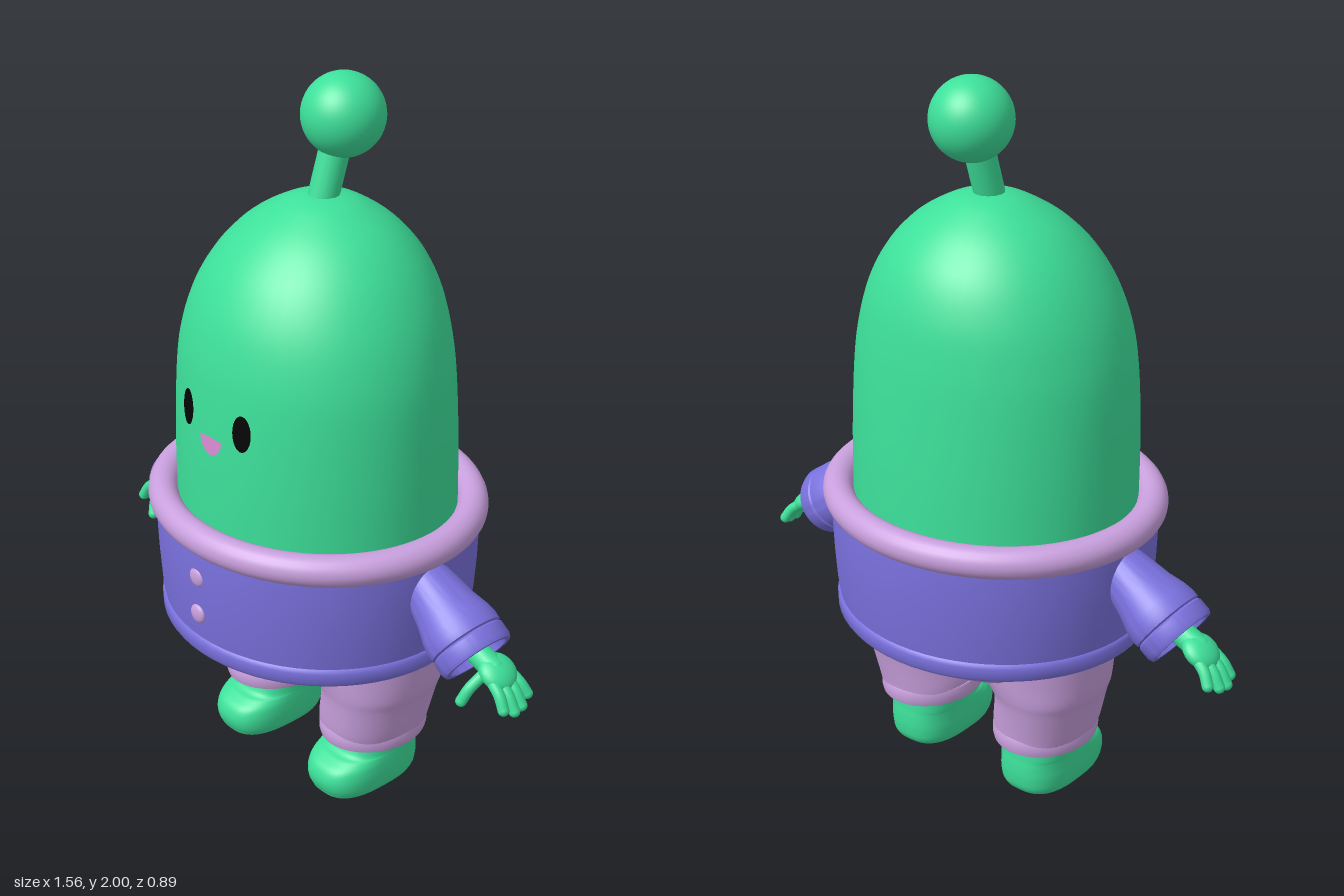
import * as THREE from 'three';
import { mergeGeometries, mergeVertices, toCreasedNormals } from 'three/addons/utils/BufferGeometryUtils.js';

const V = (x, y, z) => new THREE.Vector3(x, y, z);

const flat = (name, color) => {
  const m = new THREE.MeshStandardMaterial({ color });
  m.name = name;
  return m;
};

// Smooth interpolation of table rows (uniform Catmull-Rom on every column)
function sampleRows(rows, t) {
  const i = Math.min(Math.floor(t), rows.length - 2), f = t - i;
  const at = k => rows[Math.max(0, Math.min(rows.length - 1, k))];
  const [a, b, c, d] = [at(i - 1), at(i), at(i + 1), at(i + 2)];
  return b.map((_, k) => b[k] + 0.5 * f * (c[k] - a[k] + f * (2 * a[k] - 5 * b[k] + 4 * c[k] - d[k]
    + f * (3 * (b[k] - c[k]) + d[k] - a[k]))));
}

// Closed cross-sections stacked upwards; row = [y, centreX, radiusX, frontZ, backZ]
function loft(rows, power = 2, sides = 48, steps = 5) {
  const pos = [], index = [], n = (rows.length - 1) * steps;
  const bend = v => Math.sign(v) * Math.abs(v) ** (2 / power);
  for (let i = 0; i <= n; i++) {
    const [y, cx, rx, zf, zb] = sampleRows(rows, i / steps);
    for (let j = 0; j < sides; j++) {
      const a = j / sides * Math.PI * 2;
      pos.push(cx + rx * bend(Math.cos(a)), y, (zf + zb) / 2 + (zf - zb) / 2 * bend(Math.sin(a)));
      if (i === n) continue;
      const p = i * sides + j, q = i * sides + (j + 1) % sides;
      index.push(p, p + sides, q + sides, p, q + sides, q);
    }
  }
  let g = new THREE.BufferGeometry();
  g.setAttribute('position', new THREE.Float32BufferAttribute(pos, 3));
  g.setIndex(index);
  g = mergeVertices(g, 1e-5);
  g.computeVertexNormals();
  return g;
}

// Turned profile stretched into an oval, with sharp edges kept
function turned(points, sx = 1, sz = 1, crease = 0.7) {
  const g = new THREE.LatheGeometry(points.map(p => new THREE.Vector2(...p)), 64);
  g.scale(sx, 1, sz);
  return toCreasedNormals(g, crease);
}

// Round-ended tube through points
function limb(points, r) {
  const path = new THREE.CatmullRomCurve3(points);
  const ends = [points[0], points[points.length - 1]].map(p =>
    new THREE.SphereGeometry(r, 14, 10).translate(p.x, p.y, p.z));
  return mergeGeometries([new THREE.TubeGeometry(path, 10, r, 14), ...ends]);
}

const headRows = [
  [0.78, 0, 0.402, 0.366, -0.364], [1.0, 0, 0.402, 0.366, -0.358], [1.2, 0, 0.394, 0.357, -0.346],
  [1.32, 0, 0.376, 0.343, -0.335], [1.43, 0, 0.34, 0.312, -0.316], [1.53, 0, 0.283, 0.256, -0.275],
  [1.61, 0, 0.208, 0.178, -0.208], [1.665, 0, 0.118, 0.092, -0.13], [1.686, 0, 0.055, 0.035, -0.075],
  [1.692, 0, 0, -0.02, -0.02],
];

// Thin face detail laid onto the front of the head
function faceDetail(shape) {
  const g = new THREE.ShapeGeometry(shape, 24), p = g.attributes.position;
  for (let i = 0; i < p.count; i++) {
    const y = p.getY(i);
    const k = headRows.findIndex((r, j) => y < headRows[j + 1][0]);
    const t = k + (y - headRows[k][0]) / (headRows[k + 1][0] - headRows[k][0]);
    const [, , rx, zf, zb] = sampleRows(headRows, t);
    p.setZ(i, (zf + zb) / 2 + (zf - zb) / 2 * Math.sqrt(1 - (p.getX(i) / rx) ** 2) + 0.006);
  }
  g.computeVertexNormals();
  return g;
}

export function createModel() {
  const model = new THREE.Group();
  model.name = 'alienFigure';
  const green = flat('skin green', 0x3de09a), violet = flat('jacket violet', 0x7a71de);
  const lilac = flat('trouser lilac', 0xc9a0de), pink = flat('mouth pink', 0xd68ad0);
  const black = flat('eye black', 0x050505);
  const add = (name, geometry, material, parent = model) => {
    const m = new THREE.Mesh(geometry, material);
    m.name = name;
    parent.add(m);
    return m;
  };

  // Head and antenna
  add('head', loft(headRows), green);
  add('antennaStem', limb([V(0, 1.65, -0.01), V(0.004, 1.74, -0.035), V(0.01, 1.85, -0.065)], 0.041), green);
  add('antennaBall', new THREE.SphereGeometry(0.11, 40, 28).translate(0.013, 1.89, -0.076), green);

  // Face
  for (const s of [1, -1]) {
    const eye = new THREE.Shape().absellipse(s * 0.107, 1.165, 0.028, 0.05, 0, Math.PI * 2);
    add(s > 0 ? 'leftEye' : 'rightEye', faceDetail(eye), black);
  }
  const mouth = new THREE.Shape().absellipse(0, 1.12, 0.042, 0.048, Math.PI, Math.PI * 2);
  add('mouth', faceDetail(mouth), pink);

  // Jacket with hem band, collar roll and buttons
  add('jacket', turned([[0.92, 0.62], [0.92, 0.49], [0.94, 0.48], [0.965, 0.48], [0.98, 0.49], [0.982, 0.52],
    [0.972, 0.53], [0.966, 0.532], [0.98, 0.58], [0.993, 0.67], [1, 0.76], [0.995, 0.8], [0.9, 0.82]], 0.458, 0.428), violet);
  const collar = new THREE.TorusGeometry(1, 0.1, 20, 80).rotateX(Math.PI / 2);
  add('collar', collar.scale(0.441, 0.43, 0.405).translate(0, 0.832, 0), lilac);
  for (const y of [0.725, 0.612]) {
    add('button', new THREE.SphereGeometry(0.027, 20, 14).scale(1, 1, 0.4).translate(0, y, 0.424), lilac);
  }

  // Trouser seat
  add('trouserSeat', turned([[0, 0.332], [0.22, 0.333], [0.42, 0.34], [0.6, 0.357], [0.76, 0.388], [0.88, 0.43],
    [0.96, 0.48], [0.99, 0.53], [1.05, 0.58]], 0.4, 0.362, 1), lilac);

  for (const s of [1, -1]) {
    const side = s > 0 ? 'left' : 'right';

    // Leg: trouser, cuff and foot
    const leg = new THREE.Group();
    leg.name = side + 'Leg';
    model.add(leg);
    add('trouserLeg', loft([
      [0.185, 0.206, 0.133, 0.127, -0.183], [0.22, 0.211, 0.138, 0.132, -0.187], [0.3, 0.225, 0.142, 0.138, -0.2],
      [0.34, 0.222, 0.158, 0.145, -0.21], [0.4, 0.2, 0.188, 0.155, -0.22], [0.5, 0.2, 0.195, 0.16, -0.23],
    ].map(([y, cx, ...r]) => [y, cx * s, ...r]), 2.2), lilac, leg);
    add('trouserCuff', turned([[0, 0.2], [0.9, 0.2], [0.9, 0.165], [0.94, 0.155], [0.99, 0.158], [1.01, 0.17],
      [1.01, 0.19], [0.99, 0.2], [0.94, 0.203]], 0.137, 0.16).translate(s * 0.205, 0, -0.028), lilac, leg);
    add('foot', loft([
      [0, 0, 0, 0, 0], [0.002, 0, 0.08, 0.14, -0.12], [0.018, 0, 0.1, 0.165, -0.148], [0.055, 0, 0.106, 0.175, -0.156],
      [0.09, 0, 0.105, 0.163, -0.156], [0.112, 0, 0.103, 0.13, -0.154], [0.13, 0, 0.102, 0.1, -0.153],
      [0.21, 0, 0.1, 0.078, -0.15],
    ].map(([y, , ...r]) => [y, s * 0.201, ...r]), 2.7), green, leg);

    // Arm: flared sleeve with cuff band and open end
    const arm = new THREE.Group();
    arm.name = side + 'Arm';
    model.add(arm);
    const sleeve = add('sleeve', turned([[0.06, -0.27], [0.074, -0.2], [0.083, -0.15], [0.096, -0.105], [0.101, -0.075],
      [0.1, -0.056], [0.094, -0.052], [0.1, -0.046], [0.1, -0.012], [0.095, 0], [0.082, 0], [0.077, -0.06], [0, -0.07]],
      1, 1.07), violet, arm);
    sleeve.position.set(s * 0.625, 0.595, -0.002);
    sleeve.quaternion.setFromUnitVectors(V(0, 1, 0), V(s * 0.815, -0.58, 0).normalize());

    // Hand: wrist, palm, four fingers and thumb
    add('wrist', limb([V(s * 0.56, 0.64, 0), V(s * 0.68, 0.585, -0.004)], 0.034), green, arm);
    const palm = add('palm', new THREE.SphereGeometry(1, 24, 16).scale(0.055, 0.03, 0.054), green, arm);
    palm.position.set(s * 0.69, 0.582, -0.008);
    palm.rotation.z = -s * 0.6;
    [[-0.04, -0.06, 0.75], [-0.02, -0.026, 0.95], [0.005, 0.004, 1], [0.026, 0.034, 0.85]].forEach(([z0, z1, k]) => {
      add('finger', limb([V(s * 0.695, 0.578, z0), V(s * (0.695 + 0.045 * k), 0.578 - 0.035 * k, (z0 + z1) / 2),
        V(s * (0.695 + 0.07 * k), 0.578 - 0.075 * k, z1)], 0.0155), green, arm);
    });
    add('thumb', limb([V(s * 0.672, 0.58, 0.025), V(s * 0.66, 0.548, 0.062), V(s * 0.648, 0.51, 0.08)], 0.0155), green, arm);
  }
  return model;
}
